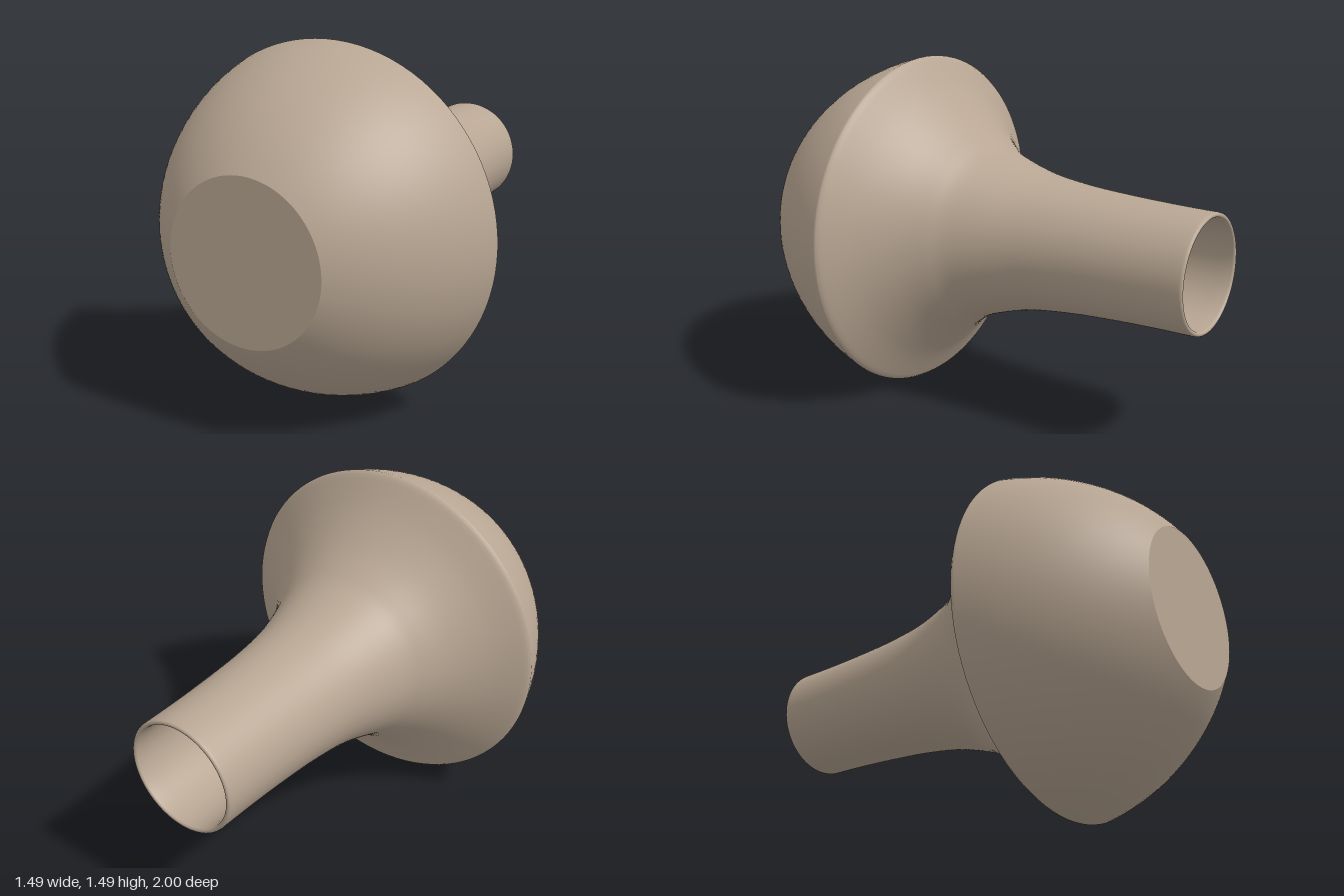
import * as THREE from 'three';

const MAX_R = 0.747; // widest radius, also the height of the axis
const v = (r, y) => new THREE.Vector2(r, y);

// Circular arc between two profile points, bulging to the right of travel
function arc(a, b, halfAngle, n) {
  const chord = b.clone().sub(a);
  const normal = v(chord.y, -chord.x).normalize();
  const radius = chord.length() / 2 / Math.sin(halfAngle);
  const centre = a.clone().add(b).multiplyScalar(0.5).addScaledVector(normal, -radius * Math.cos(halfAngle));
  const start = Math.atan2(a.y - centre.y, a.x - centre.x);
  return Array.from({ length: n + 1 }, (_, i) => {
    const t = start + (2 * halfAngle * i) / n;
    return v(centre.x + radius * Math.cos(t), centre.y + radius * Math.sin(t));
  });
}

export function createModel() {
  const clay = new THREE.MeshStandardMaterial({ color: 0xb8a693 });
  clay.name = 'clay';
  const vase = new THREE.Group();
  vase.name = 'vase';

  const addLathe = (name, points) => {
    const mesh = new THREE.Mesh(new THREE.LatheGeometry(points, 96), clay);
    mesh.name = name;
    vase.add(mesh);
  };

  // Profiles run up the axis from the foot (-1) to the mouth (+1)
  const bowl = arc(v(0.333, -1), v(MAX_R - 0.003, -0.412), 0.37, 24);
  const shoulder = arc(v(MAX_R - 0.001, -0.405), v(MAX_R - 0.008, -0.391), 0.5, 4);
  const neck = new THREE.SplineCurve([
    v(MAX_R - 0.012, -0.385), v(0.61, -0.3), v(0.5, -0.2), v(0.42, -0.1), v(0.363, 0), v(0.302, 0.2),
    v(0.273, 0.4), v(0.259, 0.6), v(0.251, 0.8), v(0.248, 0.985),
  ]).getPoints(48);
  const lip = arc(v(0.247, 0.99), v(0.227, 0.99), Math.PI / 2, 8);

  // Inner wall follows the outer one, going back down
  const inner = [...bowl, ...neck]
    .map((p) => v(p.x - 0.024, p.y))
    .filter((p) => p.y > -0.96 && p.y < 0.98)
    .reverse();
  const floor = inner[inner.length - 1];

  addLathe('foot', [v(0, -1), v(0.333, -1)]);
  addLathe('bowl', bowl);
  addLathe('shoulderAndNeck', [bowl[bowl.length - 1], ...shoulder, ...neck, ...lip]);
  addLathe('innerWall', [lip[lip.length - 1], ...inner]);
  addLathe('innerFloor', [floor.clone(), v(0, floor.y)]);

  // Lay the vase on its side with the mouth to the back
  vase.rotation.x = -Math.PI / 2;
  vase.position.y = MAX_R;
  const model = new THREE.Group();
  model.name = 'lyingVase';
  model.add(vase);
  return model;
}
